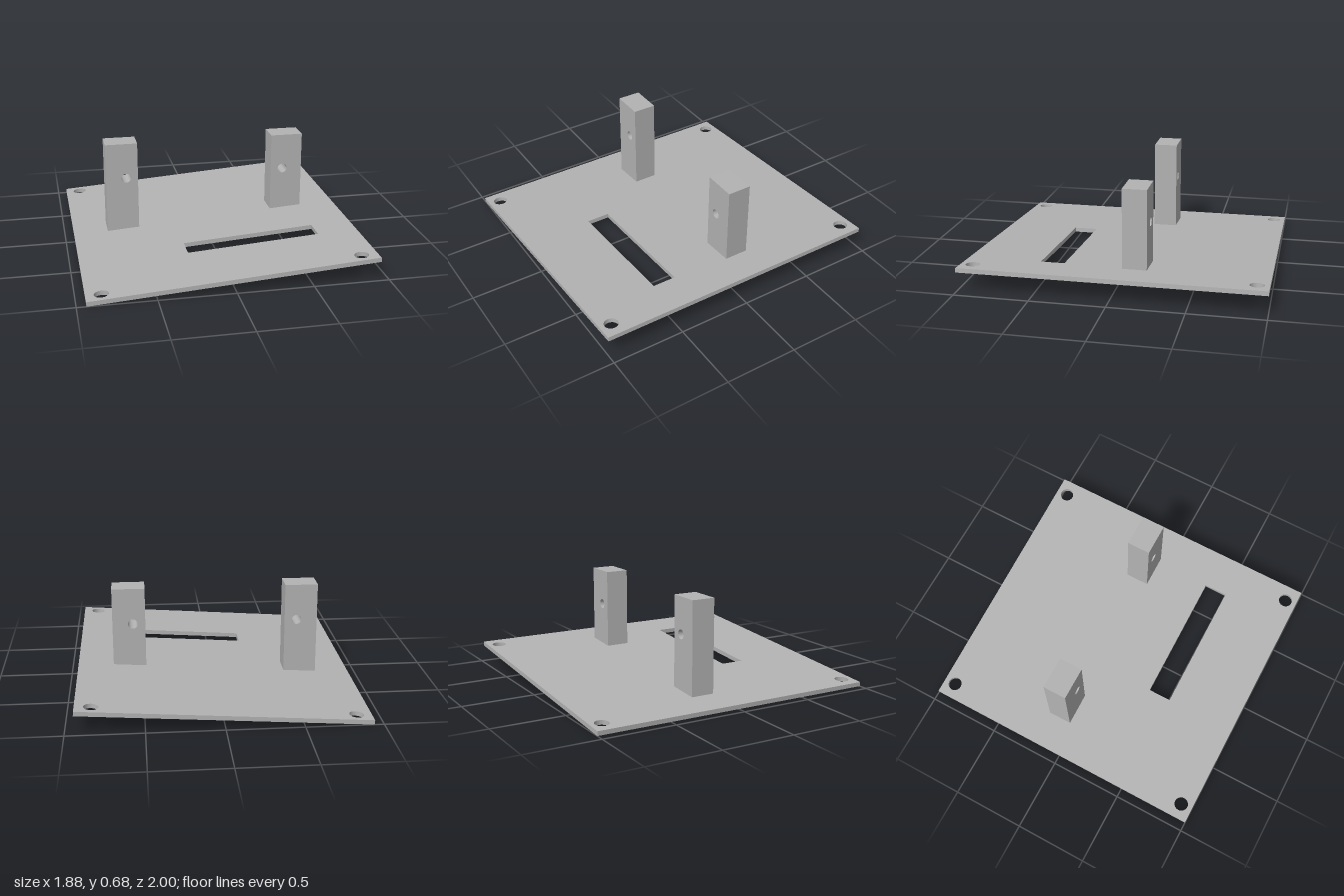
import * as THREE from 'three';
import { toCreasedNormals } from 'three/addons/utils/BufferGeometryUtils.js';

const TILT = THREE.MathUtils.degToRad(4);
const THICK = 0.03;
const MID_Y = 0.0805; // height of the plate's centre

function polygon(Type, points) {
  return new Type(points.map(([x, y]) => new THREE.Vector2(x, y)));
}

function roundHole(x, y, r) {
  return new THREE.Path().absarc(x, y, r, 0, Math.PI * 2, true);
}

function extrude(shape, depth) {
  const geometry = new THREE.ExtrudeGeometry(shape, { depth, bevelEnabled: false, curveSegments: 24 });
  return toCreasedNormals(geometry, 0.6);
}

export function createModel() {
  const model = new THREE.Group();
  model.name = 'tiltedMountingPlate';
  const grey = new THREE.MeshStandardMaterial({ color: 0xb3b3b3 });
  grey.name = 'grey';

  // Base plate with a slot and four corner holes, tilted up towards +x
  const w = 0.941;
  const outline = polygon(THREE.Shape, [[-w, -1], [w, -1], [w, 1], [-w, 1]]);
  outline.holes.push(polygon(THREE.Path, [[-0.225, -0.51], [-0.225, -0.35], [0.672, -0.35], [0.672, -0.51]]));
  for (const x of [-0.84, 0.836]) {
    for (const y of [-0.92, 0.92]) outline.holes.push(roundHole(x, y, 0.047));
  }
  const plateGeometry = extrude(outline, THICK);
  plateGeometry.translate(0, 0, -THICK / 2).rotateX(-Math.PI / 2).rotateZ(TILT).translate(0, MID_Y, 0);
  const plate = new THREE.Mesh(plateGeometry, grey);
  plate.name = 'basePlate';
  model.add(plate);

  // Two upright posts, cut to the plate's slope, each with a cross hole
  const plateTop = (x) => MID_Y + THICK / 2 + x * Math.tan(TILT) - 0.001;
  for (const side of [-1, 1]) {
    const [x0, x1] = side < 0 ? [-0.702, -0.479] : [0.476, 0.699];
    const profile = polygon(THREE.Shape, [[x0, plateTop(x0)], [x1, plateTop(x1)], [x1, 0.682], [x0, 0.682]]);
    profile.holes.push(roundHole(side * 0.561, 0.433, 0.033));
    const post = new THREE.Mesh(extrude(profile, 0.162), grey);
    post.position.z = -0.204;
    post.name = side < 0 ? 'rightPost' : 'leftPost';
    model.add(post);
  }
  return model;
}
